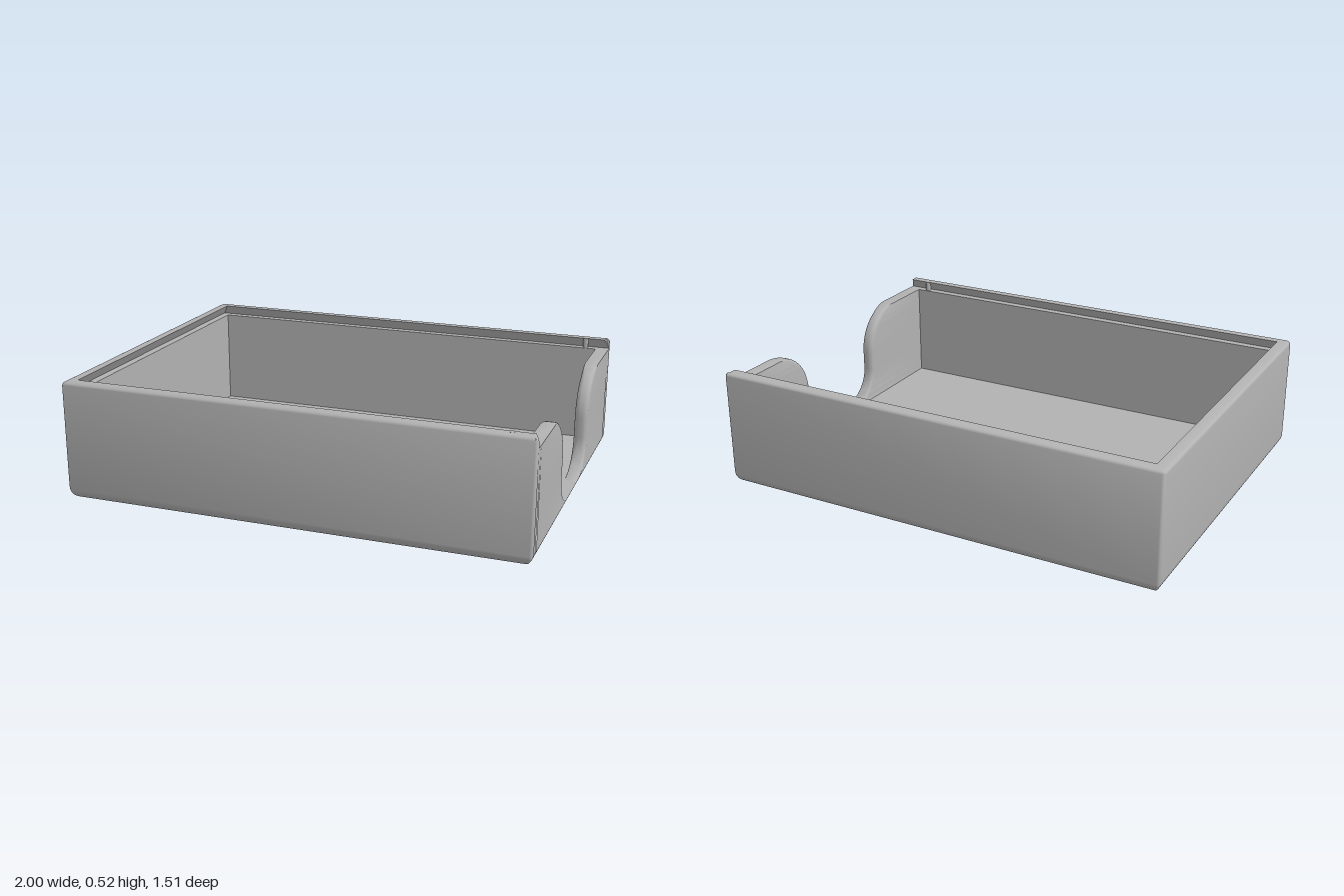
import * as THREE from 'three';
import { toCreasedNormals } from 'three/addons/utils/BufferGeometryUtils.js';

const HX = 1, HZ = 0.757, H = 0.52;          // outer half sizes and height
const FLOOR = 0.04, LEDGE = 0.475, WALL = 0.058;
const R = 0.018, FOOT = 0.06;                // small edge radius, bottom edge radius
const STEPS = 5;

// How far the outer face is drawn in at height y by the rounded bottom and top edges
function edge(y) {
  const round = (r, t) => r - Math.sqrt(Math.max(0, r * r - t * t));
  if (y < FOOT) return round(FOOT, FOOT - y);
  if (y > H - R) return round(R, y - H + R);
  return 0;
}

// Turns triangles into a geometry with sharp creases and smooth fillets
function build(tris) {
  const g = new THREE.BufferGeometry();
  g.setAttribute('position', new THREE.Float32BufferAttribute(
    tris.flatMap(t => t.flatMap(v => [v.x, v.y, v.z])), 3));
  return toCreasedNormals(g, 0.6);
}

// Skins a list of equally long rows of points
function skin(rows) {
  const tris = [];
  const add = (a, b, c) => {
    if (a.distanceTo(b) > 1e-6 && b.distanceTo(c) > 1e-6 && a.distanceTo(c) > 1e-6) tris.push([a, b, c]);
  };
  for (let i = 0; i + 1 < rows.length; i++) {
    for (let j = 0; j + 1 < rows[i].length; j++) {
      const a = rows[i][j], b = rows[i][j + 1], c = rows[i + 1][j + 1], d = rows[i + 1][j];
      add(a, b, c);
      add(a, c, d);
    }
  }
  return tris;
}

// Stations around the four rounded vertical corners
const stations = [];
[[1, 1], [-1, 1], [-1, -1], [1, -1]].forEach(([sx, sz], k) => {
  for (let i = 0; i <= STEPS; i++) {
    const a = (k - 1 + i / STEPS) * Math.PI / 2;
    stations.push({ sx, sz, nx: -Math.sin(a), nz: Math.cos(a) });
  }
});

// Point on the rounded rectangle that lies d inside the outline
function cornerPoint({ sx, sz, nx, nz }, d, y) {
  const k = R - d;
  return new THREE.Vector3(sx * (HX - R) + k * (k > 0 ? nx : sx), y, sz * (HZ - R) + k * (k > 0 ? nz : sz));
}

// Floor slab with its rounded bottom edge
function floorGeometry() {
  const rows = [], loop = [...stations, stations[0]];
  rows.push(loop.map(() => new THREE.Vector3(0, FLOOR, 0)));
  rows.push(loop.map(s => cornerPoint(s, edge(FLOOR), FLOOR)));
  const start = Math.acos((FOOT - FLOOR) / FOOT);
  for (let i = 1; i <= 10; i++) {
    const y = FOOT * (1 - Math.cos(start * (1 - i / 10)));
    rows.push(loop.map(s => cornerPoint(s, edge(y), y)));
  }
  rows.push(loop.map(() => new THREE.Vector3(0, 0, 0)));
  return build(skin(rows));
}

// Three walls in a U, with an undercut groove for a sliding lid
function wallGeometry() {
  const profile = [FLOOR, 0.05, FOOT, H - R].map(y => [edge(y), y]);
  for (let i = 1; i <= 5; i++) {
    const a = i / 5 * Math.PI / 2;
    profile.push([R * (1 - Math.cos(a)), H - R + R * Math.sin(a)]);
  }
  profile.push([0.052, H], [0.023, LEDGE], [WALL, LEDGE], [WALL, FLOOR]);

  const rows = stations.map(s => profile.map(([d, y]) => {
    if (s.sx < 0) return cornerPoint(s, d, y);
    const inset = Math.max(d, R - R * Math.abs(s.nz));
    return new THREE.Vector3(HX - R + R * s.nx - edge(y), y, s.sz * (HZ - inset));
  }));
  const tris = skin(rows);

  // Open ends of the two long walls
  for (const row of [rows[0], rows[rows.length - 1]]) {
    const contour = row.map(v => new THREE.Vector2(v.z, v.y));
    for (const [i, j, k] of THREE.ShapeUtils.triangulateShape(contour, [])) {
      const [a, b, c] = [row[i], row[j], row[k]];
      const n = b.clone().sub(a).cross(c.clone().sub(a));
      tris.push(n.x >= 0 ? [a, b, c] : [a, c, b]);
    }
  }
  return build(tris);
}

// One half of the end wall, with the finger scoop's S-curve and softened edges
function scoopGeometry(side) {
  const zEnd = HZ - WALL, soft = 0.022, curve = [];
  for (let i = 0; i <= 16; i++) {
    const a = i / 16 * Math.PI / 2, s = Math.sin(a), c = Math.cos(a);
    curve.push({ z: 0.1 + 0.15 * s, y: FLOOR + 0.15 * (1 - c), nz: s, ny: -c, r: soft * s * s });
  }
  for (let i = 0; i <= 16; i++) {
    const a = i / 16 * Math.PI / 2, s = Math.sin(a), c = Math.cos(a);
    curve.push({ z: 0.45 - 0.2 * c, y: LEDGE - 0.2 * (1 - s), nz: c, ny: -s, r: soft * Math.min(1, 2 * c) });
  }
  curve.push({ z: zEnd, y: LEDGE, nz: 0, ny: -1, r: 0 });

  const rows = curve.map(({ z, y, nz, ny, r }) => {
    const outer = [], inner = [];
    const xo = HX - edge(y), xi = HX - WALL;
    for (let i = 0; i <= STEPS; i++) {
      const a = i / STEPS * Math.PI / 2;
      const off = r * (1 - Math.sin(a)), dx = r * (1 - Math.cos(a));
      outer.push(new THREE.Vector3(xo - dx, y + ny * off, side * (z + nz * off)));
      inner.unshift(new THREE.Vector3(xi + dx, y + ny * off, side * (z + nz * off)));
    }
    const faceY = y + ny * r;
    const row = [new THREE.Vector3(xo, faceY, side * zEnd), ...outer, ...inner,
      new THREE.Vector3(xi, faceY, side * zEnd)];
    return side > 0 ? row : row.reverse();
  });
  return build(skin(rows));
}

export function createModel() {
  const grey = new THREE.MeshStandardMaterial({ color: 0xb2b2b2 });
  grey.name = 'grey';
  const group = new THREE.Group();
  group.name = 'slidingLidTray';
  const add = (name, geometry) => {
    const mesh = new THREE.Mesh(geometry, grey);
    mesh.name = name;
    group.add(mesh);
    return mesh;
  };

  add('floor', floorGeometry());
  add('groovedWalls', wallGeometry());
  for (const side of [1, -1]) {
    const label = side > 0 ? 'Front' : 'Back';
    add('scoopedEndWall' + label, scoopGeometry(side));
    // Small detent pin that holds the lid
    add('lidDetent' + label, new THREE.CylinderGeometry(0.012, 0.012, H - LEDGE, 16))
      .position.set(0.893, (H + LEDGE) / 2 + 0.0005, side * 0.713);
  }
  return group;
}
